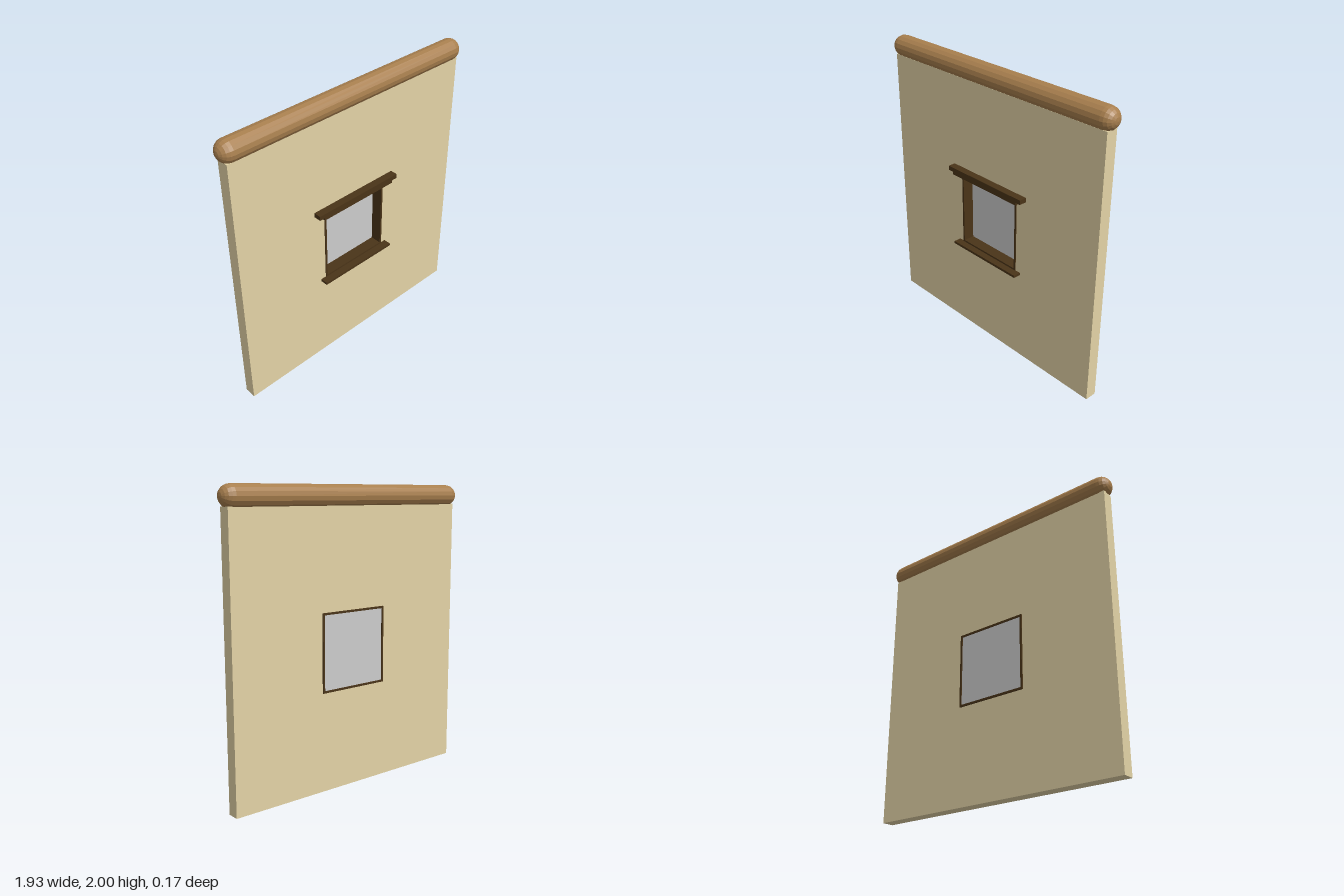
import * as THREE from 'three';

export function createModel() {
  const model = new THREE.Group();
  const plaster = new THREE.MeshStandardMaterial({ color: 0xe3d3a6 });
  const log = new THREE.MeshStandardMaterial({ color: 0xa87f4e, flatShading: true });
  const darkWood = new THREE.MeshStandardMaterial({ color: 0x4a3418 });
  const grey = new THREE.MeshStandardMaterial({ color: 0xcccccc });

  function add(name, geometry, material) {
    const mesh = new THREE.Mesh(geometry, material);
    mesh.name = name;
    model.add(mesh);
    return mesh;
  }

  // Box given by its extents on each axis
  function box(name, [x0, x1], [y0, y1], [z0, z1], material) {
    const mesh = add(name, new THREE.BoxGeometry(x1 - x0, y1 - y0, z1 - z0), material);
    mesh.position.set((x0 + x1) / 2, (y0 + y1) / 2, (z0 + z1) / 2);
  }

  function rectangle(Type, x, y0, y1) {
    return new Type().moveTo(-x, y0).lineTo(x, y0).lineTo(x, y1).lineTo(-x, y1).closePath();
  }

  // Upright panel with a rectangular hole
  function panel(name, outer, hole, z0, z1, material) {
    const shape = rectangle(THREE.Shape, ...outer);
    shape.holes.push(rectangle(THREE.Path, ...hole));
    const geometry = new THREE.ExtrudeGeometry(shape, { depth: z1 - z0, bevelEnabled: false });
    add(name, geometry.translate(0, 0, z0), material);
  }

  // Wall and the window frame lining its opening
  const opening = [0.26, 0.67, 1.195];
  panel('wall', [0.93, 0, 1.87], opening, -0.05, 0.032, plaster);
  panel('windowFrame', opening, [0.246, 0.684, 1.181], -0.058, 0.037, darkWood);
  box('windowPane', [-0.246, 0.246], [0.684, 1.181], [-0.052, -0.042], grey);

  // Stepped lintel above the window and sill below
  box('lintelLower', [-0.3, 0.3], [1.195, 1.217], [0.03, 0.084], darkWood);
  box('lintelUpper', [-0.34, 0.34], [1.215, 1.245], [0.03, 0.085], darkWood);
  box('windowSill', [-0.3, 0.3], [0.655, 0.672], [0.03, 0.085], darkWood);

  // Round-ended log along the top, flattened underneath
  const radius = 0.073;
  const capsule = new THREE.CapsuleGeometry(radius, 1.78, 5, 16);
  capsule.rotateZ(Math.PI / 2).translate(0, 2 - radius, -0.012);
  const p = capsule.attributes.position;
  for (let i = 0; i < p.count; i++) p.setY(i, Math.max(p.getY(i), 1.86));
  capsule.computeVertexNormals();
  add('topLog', capsule, log);

  return model;
}
